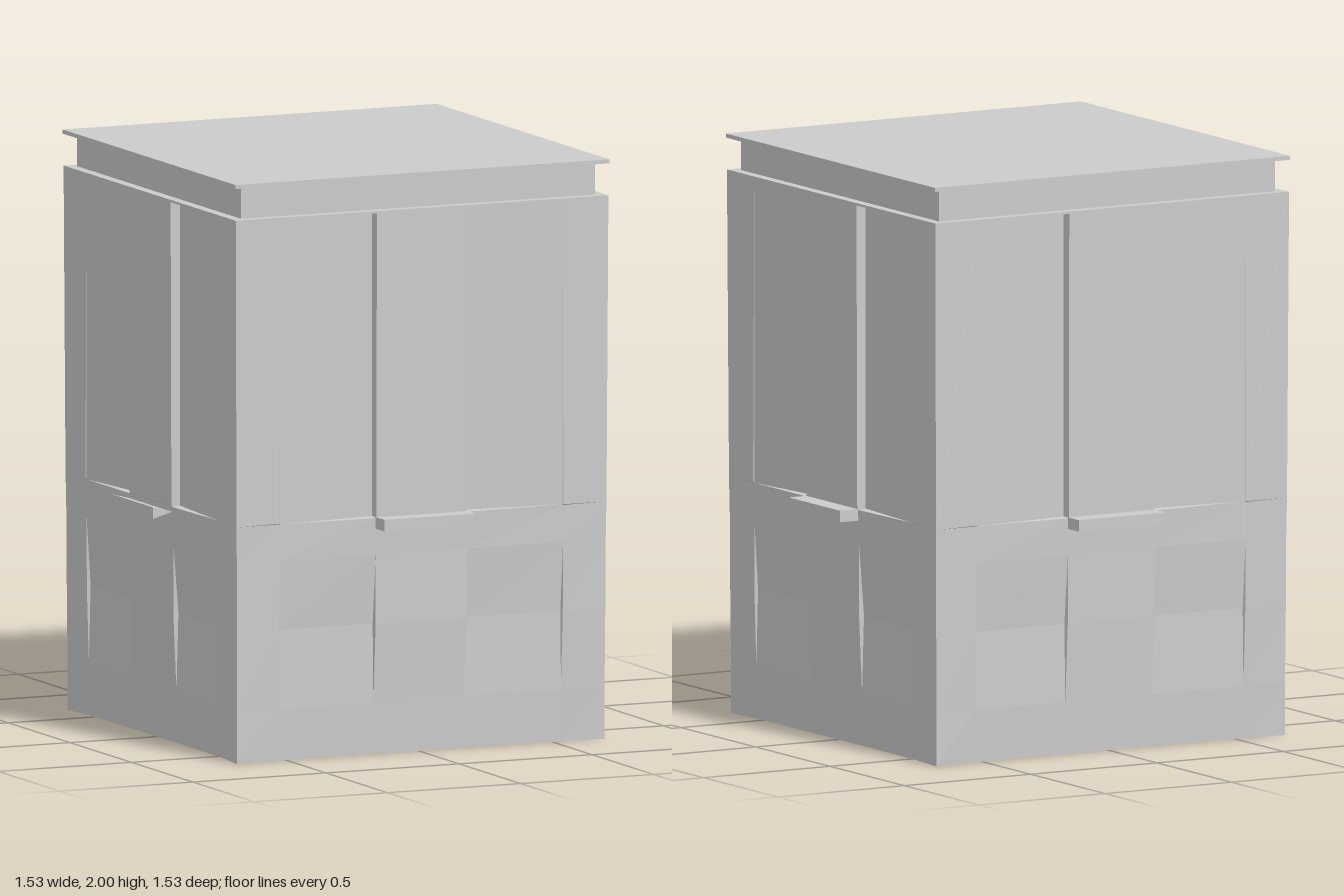
import * as THREE from 'three';

const material = new THREE.MeshStandardMaterial({
  color: 0xcccccc, flatShading: true, side: THREE.DoubleSide,
});

function box(name, w, h, d, x, y, z) {
  const mesh = new THREE.Mesh(new THREE.BoxGeometry(w, h, d), material);
  mesh.name = name;
  mesh.position.set(x, y, z);
  return mesh;
}

// Half of a wall: distances from the middle, doubled up where panels step
const columns = [0.7, 0.533, 0.53, 0.173, 0.17];
// Each row: height, then how far the wall stands out at each column
const rows = [
  [0, 0.69, 0.675, 0.675, 0.672, 0.672],
  [0.18, 0.69, 0.682, 0.682, 0.678, 0.678],
  [0.45, 0.692, 0.69, 0.677, 0.672, 0.69],
  [0.69, 0.693, 0.692, 0.692, 0.691, 0.691],
  [0.817, 0.695, 0.692, 0.692, 0.695, 0.695],
  [0.82, 0.695, 0.695, 0.692, 0.667, 0.697],
  [1.868, 0.7, 0.692, 0.692, 0.667, 0.7],
];

// Stepped wall sheet facing +z, mirrored about its middle
function wallGeometry() {
  const positions = [], index = [];
  const n = columns.length * 2;
  rows.forEach(([y, ...depths], r) => {
    for (let i = 0; i < n; i++) {
      const left = i < n / 2;
      const c = left ? i : n - 1 - i;
      const x = c === 0 ? depths[0] : columns[c];
      positions.push(left ? -x : x, y, depths[c]);
      if (r > 0 && i > 0) {
        const d = r * n + i, a = d - n - 1, b = d - n, e = d - 1;
        index.push(a, b, d, a, d, e);
      }
    }
  });
  const geometry = new THREE.BufferGeometry();
  geometry.setAttribute('position', new THREE.Float32BufferAttribute(positions, 3));
  geometry.setIndex(index);
  geometry.computeVertexNormals();
  return geometry;
}

// Ledge that narrows to an edge where it meets the wall
function wedgeLedge() {
  const shape = new THREE.Shape();
  shape.moveTo(0.695, 0.8);
  shape.lineTo(0.767, 0.78);
  shape.lineTo(0.767, 0.82);
  shape.closePath();
  const geometry = new THREE.ExtrudeGeometry(shape, { depth: 0.344, bevelEnabled: false });
  geometry.translate(0, 0, -0.172);
  geometry.rotateY(-Math.PI / 2);
  const mesh = new THREE.Mesh(geometry, material);
  mesh.name = 'wedgeLedge';
  return mesh;
}

export function createModel() {
  const model = new THREE.Group();
  model.name = 'tower';

  // Four walls, each with a ledge; the body is open underneath
  const sheet = wallGeometry();
  ['front', 'left', 'back', 'right'].forEach((side, i) => {
    const group = new THREE.Group();
    group.name = side + 'Side';
    group.rotation.y = i * Math.PI / 2;
    const wall = new THREE.Mesh(sheet, material);
    wall.name = 'wall';
    group.add(wall);
    group.add(i === 3 ? wedgeLedge() : box('ledge', 0.344, 0.04, 0.082, 0, 0.8, 0.726));
    model.add(group);
  });

  // Roof: thin cornice, set-back neck and flat cap
  model.add(box('cornice', 1.4, 0.008, 1.4, 0, 1.872, 0));
  model.add(box('neck', 1.33, 0.11, 1.33, 0, 1.931, 0));
  model.add(box('cap', 1.406, 0.014, 1.406, 0, 1.993, 0));
  return model;
}
